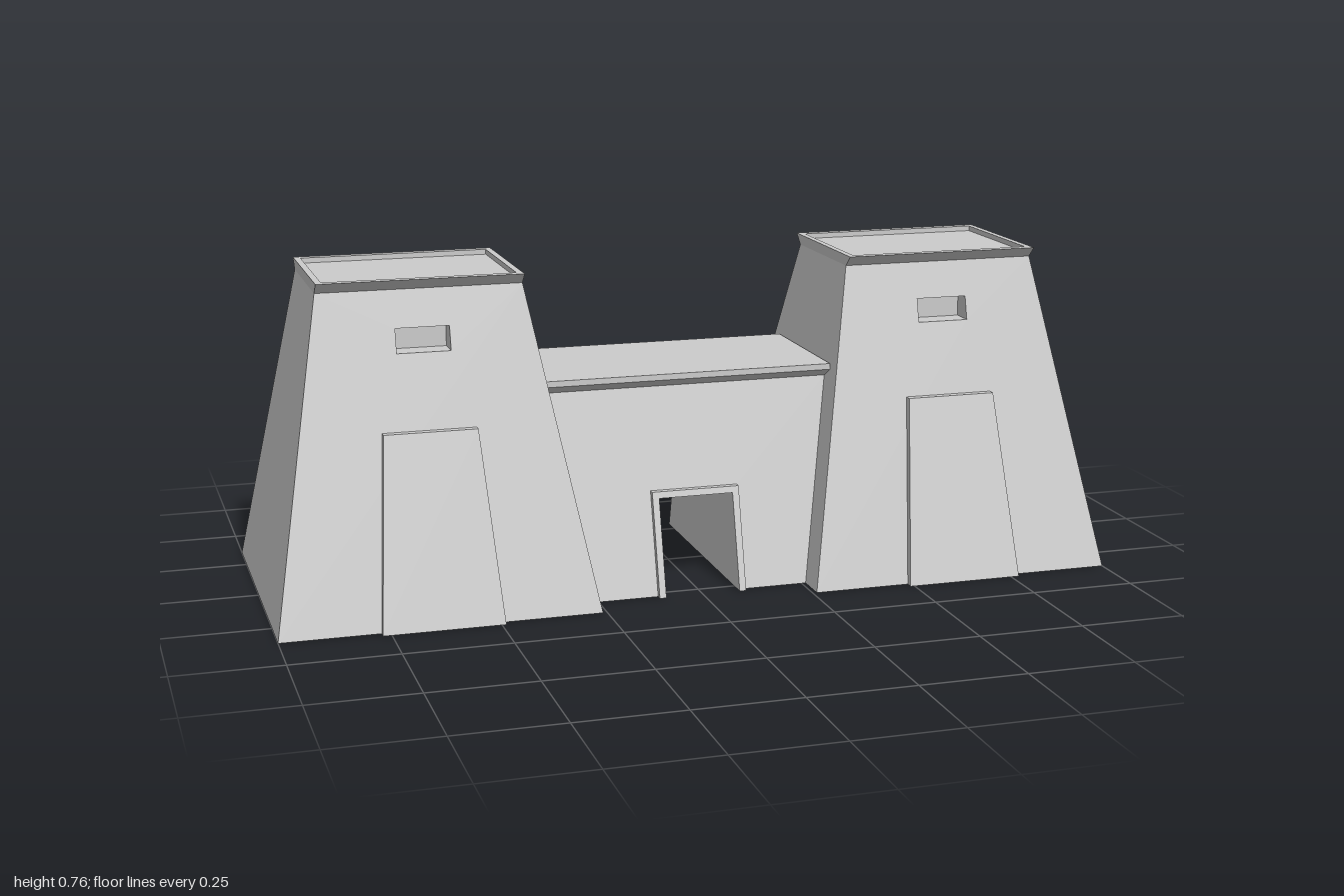
import * as THREE from 'three';

const material = new THREE.MeshStandardMaterial({ color: 0xcccccc, flatShading: true });
const BATTER = 0.2635; // inward lean of the walls per unit of height

const outline = (pts) => pts.map(([x, y]) => new THREE.Vector2(x, y));
const rect = (w, y0, y1) => [[-w, y0], [w, y0], [w, y1], [-w, y1]];

function addMesh(parent, geometry, name) {
  const mesh = new THREE.Mesh(geometry, material);
  mesh.name = name;
  parent.add(mesh);
  return mesh;
}

// Front outline extruded through the building; its half depth shrinks by lean with height
function slab(parent, name, pts, halfDepth, lean = BATTER, hole = null) {
  const shape = new THREE.Shape(outline(pts));
  if (hole) shape.holes.push(new THREE.Path(outline(hole)));
  const geo = new THREE.ExtrudeGeometry(shape, { depth: 1, bevelEnabled: false });
  const p = geo.attributes.position;
  for (let i = 0; i < p.count; i++) {
    p.setZ(i, (p.getZ(i) > 0.5 ? 1 : -1) * (halfDepth - lean * p.getY(i)));
  }
  geo.computeVertexNormals();
  return addMesh(parent, geo, name);
}

// Flared band between two heights, from half depth z0 to z1
function flare(parent, name, w, y0, y1, z0, z1) {
  const lean = (z0 - z1) / (y1 - y0);
  return slab(parent, name, rect(w, y0, y1), z0 + lean * y0, lean);
}

// Raised lip round the roof: a rectangular ring whose long sides flare outward
function roofRim(parent, w, y0, y1, z0, z1, holeW, holeZ) {
  const ring = new THREE.Shape(outline(rect(w, -z0, z0)));
  ring.holes.push(new THREE.Path(outline(rect(holeW, -holeZ, holeZ))));
  const geo = new THREE.ExtrudeGeometry(ring, { depth: y1 - y0, bevelEnabled: false });
  geo.rotateX(-Math.PI / 2);
  const p = geo.attributes.position;
  for (let i = 0; i < p.count; i++) {
    const z = p.getZ(i);
    if (p.getY(i) > (y1 - y0) / 2 && Math.abs(z) > (holeZ + z0) / 2) p.setZ(i, Math.sign(z) * z1);
  }
  geo.translate(0, y0, 0);
  geo.computeVertexNormals();
  addMesh(parent, geo, 'roofRim');
}

function createTower(name) {
  const tower = new THREE.Group();
  tower.name = name;
  // Battered body with window openings, closed off inside to leave niches
  slab(tower, 'towerBody', [[-0.37, 0], [0.37, 0], [0.237, 0.74], [-0.237, 0.74]],
    0.355, BATTER, rect(0.062, 0.6, 0.655));
  addMesh(tower, new THREE.BoxGeometry(0.14, 0.07, 0.28), 'windowBack').position.y = 0.6275;
  // Raised tapering panels on front and back
  slab(tower, 'wallPanel', [[-0.14, 0], [0.14, 0], [0.108, 0.43], [-0.108, 0.43]], 0.373);
  // Cornice with sunken roof
  flare(tower, 'cornice', 0.237, 0.74, 0.753, 0.16, 0.174);
  roofRim(tower, 0.237, 0.753, 0.765, 0.174, 0.187, 0.222, 0.166);
  return tower;
}

function createGate() {
  const gate = new THREE.Group();
  gate.name = 'gate';
  // Wall with doorway
  slab(gate, 'gateWall', [[-0.345, 0], [-0.098, 0], [-0.098, 0.232], [0.098, 0.232],
    [0.098, 0], [0.345, 0], [0.345, 0.476], [-0.345, 0.476]], 0.277);
  // Projecting door frame lining the passage
  slab(gate, 'doorFrame', [[-0.106, 0], [-0.09, 0], [-0.09, 0.225], [0.09, 0.225],
    [0.09, 0], [0.106, 0], [0.106, 0.24], [-0.106, 0.24]], 0.292);
  // Cornice and flat roof edge
  flare(gate, 'gateCornice', 0.348, 0.476, 0.496, 0.152, 0.183);
  flare(gate, 'gateRoof', 0.348, 0.496, 0.51, 0.183, 0.183);
  return gate;
}

export function createModel() {
  const model = new THREE.Group();
  model.name = 'pylonGateway';
  for (const side of [-1, 1]) {
    const tower = createTower(side > 0 ? 'leftTower' : 'rightTower');
    tower.position.x = side * 0.63;
    model.add(tower);
  }
  model.add(createGate());
  return model;
}
